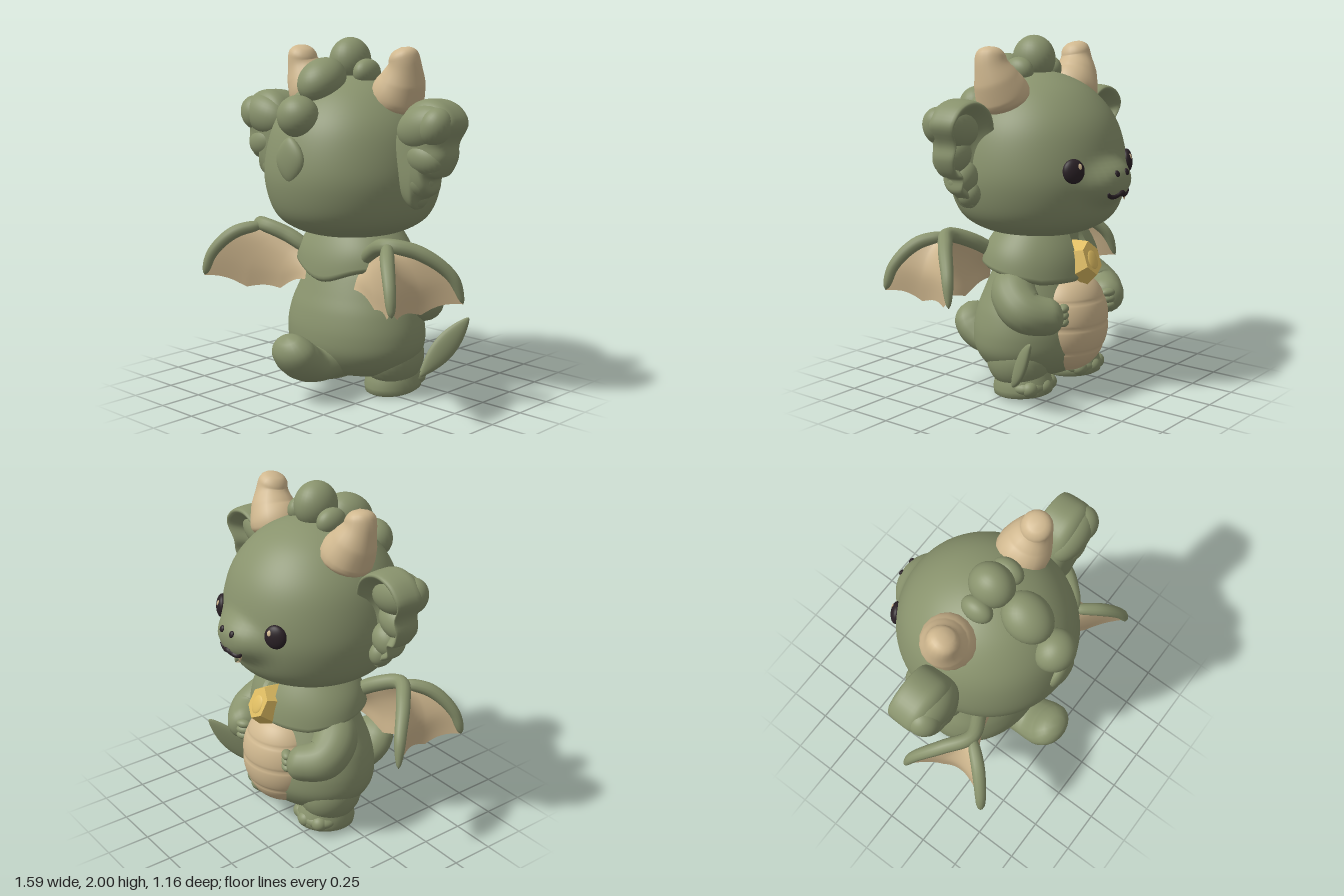
import * as THREE from 'three';
import { mergeVertices } from 'three/addons/utils/BufferGeometryUtils.js';
import { ParametricGeometry } from 'three/addons/geometries/ParametricGeometry.js';

const V = (a) => new THREE.Vector3(...a);
const curve = (pts, closed = false) => new THREE.CatmullRomCurve3(pts.map(V), closed);

function paint(name, color) {
  const m = new THREE.MeshStandardMaterial({ color, side: THREE.DoubleSide });
  m.name = name;
  return m;
}

// weld seams and recompute smooth normals
function smooth(geo) {
  geo.deleteAttribute('uv');
  geo.deleteAttribute('normal');
  const g = mergeVertices(geo, 1e-4);
  g.computeVertexNormals();
  return g;
}

function add(parent, name, geo, mat) {
  const m = new THREE.Mesh(geo, mat);
  m.name = name;
  parent.add(m);
  return m;
}

// ellipsoid placed at p with radii r
function blob(parent, name, mat, p, r, rot = [0, 0, 0]) {
  const m = add(parent, name, new THREE.SphereGeometry(1, 28, 20), mat);
  m.position.set(...p);
  m.scale.set(...r);
  m.rotation.set(...rot);
  return m;
}

// tube whose radius follows a list of radii, with rounded ends
function limb(parent, name, mat, pts, radii, seg = 30, sides = 18) {
  const path = curve(pts);
  const rad = new THREE.SplineCurve(radii.map((r, i) => new THREE.Vector2(i / (radii.length - 1), r)));
  const geo = new THREE.TubeGeometry(path, seg, 1, sides);
  const pos = geo.attributes.position, v = new THREE.Vector3();
  for (let i = 0; i < pos.count; i++) {
    const t = Math.floor(i / (sides + 1)) / seg;
    const c = path.getPointAt(t);
    const e = Math.min(1, Math.min(t, 1 - t) / 0.16);
    const r = rad.getPoint(t).y * Math.sqrt(Math.max(0, 1 - (1 - e) ** 2));
    v.fromBufferAttribute(pos, i).sub(c).multiplyScalar(r).add(c);
    pos.setXYZ(i, v.x, v.y, v.z);
  }
  return add(parent, name, smooth(geo), mat);
}

// turned form from (radius, height) points, shifted by z and scaled in depth
function turned(pts, z, sz) {
  const line = new THREE.SplineCurve(pts.map((p) => new THREE.Vector2(...p))).getPoints(70);
  line.forEach((p) => { p.x = Math.max(0, p.x); });
  const geo = new THREE.LatheGeometry(line, 80);
  geo.scale(1, 1, sz);
  geo.translate(0, 0, z);
  return geo;
}

export function createModel() {
  const root = new THREE.Group();
  root.name = 'babyDragon';
  const green = paint('mossGreen', 0x89936d);
  const tan = paint('warmTan', 0xd0b88f);
  const dark = paint('eyeDark', 0x2a2126);
  const gold = paint('gemGold', 0xdfbd62);

  // head with a soft snout swelling out of the front
  const headGeo = turned([[0, 0.905], [0.22, 0.91], [0.37, 0.965], [0.45, 1.05], [0.493, 1.2], [0.49, 1.34],
    [0.45, 1.5], [0.38, 1.62], [0.275, 1.72], [0.14, 1.785], [0, 1.81]], 0, 1.02);
  const hp = headGeo.attributes.position;
  for (let i = 0; i < hp.count; i++) {
    if (hp.getZ(i) > 0) continue;
    const d = (hp.getX(i) / 0.185) ** 2 + ((hp.getY(i) - 1.23) / 0.11) ** 2;
    hp.setZ(i, hp.getZ(i) - 0.07 * Math.exp(-(d ** 2)));
  }
  const head = add(root, 'head', smooth(headGeo), green);
  const onFace = (x, y, lift = 0.002) => {
    const ray = new THREE.Raycaster(V([x, y, -2]), V([0, 0, 1]));
    return [x, y, ray.intersectObject(head)[0].point.z - lift];
  };

  add(root, 'body', smooth(turned([[0, 0.09], [0.2, 0.1], [0.34, 0.15], [0.425, 0.25], [0.44, 0.36], [0.415, 0.48],
    [0.37, 0.58], [0.32, 0.68], [0.265, 0.78], [0.25, 0.95]], -0.02, 0.77)), green);

  // belly plate with stacked bands
  const bands = [];
  for (let i = 0; i <= 72; i++) {
    const t = i / 72, a = Math.PI * t;
    const groove = 0.009 * Math.abs(Math.sin(t * Math.PI * 6)) ** 0.3;
    bands.push(new THREE.Vector2(Math.sin(a) ** 0.85 * (0.238 + groove), 0.41 - 0.285 * Math.cos(a)));
  }
  const belly = new THREE.LatheGeometry(bands, 48);
  belly.scale(1, 1, 0.88);
  belly.translate(0, 0, -0.22);
  add(root, 'belly', smooth(belly), tan);

  // cape around the neck, open at the chest, pointed at the back
  const cape = new ParametricGeometry((u, v, out) => {
    const a = (u * 2 - 1) * 2.95, back = Math.cos(a);
    const hem = 0.765 - 0.09 * Math.exp(-((a / 0.55) ** 2)) - 0.085 * Math.min(1, Math.abs(a) / 2.3) ** 2;
    const t = Math.min(1, v / 0.8), tuck = Math.max(0, (v - 0.8) / 0.2);
    const w = 0.262 + 0.115 * t + 0.025 * Math.sin(t * Math.PI) - 0.07 * tuck;
    out.set(Math.sin(a) * w, 0.95 + (hem - 0.95) * t - 0.02 * Math.sin(tuck * Math.PI), -0.03 + back * w * 0.83);
  }, 64, 24);
  add(root, 'cape', smooth(cape), green);

  // chest gem
  const gem = new THREE.Group();
  gem.name = 'gem';
  gem.position.set(0, 0.77, -0.335);
  gem.rotation.set(0.42, 0, 0.12);
  root.add(gem);
  const cut = new THREE.CylinderGeometry(0.075, 0.105, 0.1, 6).toNonIndexed();
  cut.computeVertexNormals();
  const stone = add(gem, 'gemStone', cut, gold);
  stone.rotation.x = -Math.PI / 2;
  stone.scale.z = 1.3;
  blob(gem, 'gemFace', gold, [0, -0.01, -0.048], [0.042, 0.055, 0.01]);

  // crest of rounded scales from crown to nape
  blob(root, 'crestTop', green, [0, 1.87, 0.025], [0.11, 0.13, 0.125]);
  blob(root, 'crestUpper', green, [0, 1.77, 0.25], [0.125, 0.115, 0.15], [0.5, 0, 0]);
  blob(root, 'crestMiddle', green, [0, 1.585, 0.43], [0.12, 0.115, 0.11], [0.3, 0, 0]);
  const scale = blob(root, 'crestLower', green, [0, 1.355, 0.49], [0.1, 0.125, 0.04], [0.02, 0, 0]);
  const sp = scale.geometry.attributes.position;
  for (let i = 0; i < sp.count; i++) sp.setX(i, sp.getX(i) * (1 - 0.35 * Math.abs(sp.getY(i)) ** 2));
  scale.geometry.computeVertexNormals();

  // broad upturned tail and its leaf-shaped tip
  limb(root, 'tail', green, [[0, 0.2, 0.02], [0, 0.2, 0.2], [0, 0.205, 0.36], [0, 0.27, 0.46], [0, 0.39, 0.53]],
    [0.12, 0.11, 0.102, 0.108, 0.085], 40).scale.x = 1.38;
  const leaf = new THREE.SphereGeometry(1, 24, 24);
  const lp = leaf.attributes.position;
  for (let i = 0; i < lp.count; i++) {
    const y = lp.getY(i), k = 1 - 0.45 * y * y;
    lp.setXYZ(i, lp.getX(i) * 0.068 * k, y * 0.215, lp.getZ(i) * 0.025);
  }
  const along = V([0.15, 0.32, -0.24]).normalize();
  const flat = V([1, 0, 1]).addScaledVector(along, -V([1, 0, 1]).dot(along)).normalize();
  const tip = add(root, 'tailTip', smooth(leaf), green);
  tip.quaternion.setFromRotationMatrix(new THREE.Matrix4().makeBasis(along.clone().cross(flat), along, flat));
  tip.position.set(0.475, 0.265, -0.25);

  // mouth and single tooth on the snout surface
  const smile = [[-0.1, 1.185], [-0.075, 1.162], [-0.04, 1.16], [0, 1.178], [0.04, 1.16], [0.075, 1.162], [0.1, 1.185]];
  limb(root, 'mouth', dark, smile.map((p) => onFace(...p)), [0.011, 0.014, 0.014, 0.011], 40, 8);
  const tooth = add(root, 'tooth', new THREE.ConeGeometry(0.018, 0.045, 12), tan);
  tooth.position.set(...onFace(-0.072, 1.145, 0.01));
  tooth.rotation.x = Math.PI;

  // lobed outline shared by both ears
  const earMid = V([0.57, 1.42, 0]);
  const earOutline = curve([[0.42, 1.5, 0], [0.49, 1.64, 0], [0.6, 1.69, 0], [0.72, 1.66, 0], [0.785, 1.57, 0],
    [0.74, 1.46, 0], [0.745, 1.38, 0], [0.7, 1.29, 0], [0.645, 1.27, 0], [0.64, 1.2, 0], [0.575, 1.155, 0],
    [0.535, 1.1, 0], [0.47, 1.14, 0], [0.42, 1.3, 0]], true);

  for (const s of [1, -1]) {
    const side = new THREE.Group();
    side.name = s > 0 ? 'leftSide' : 'rightSide';
    side.scale.x = s;
    root.add(side);

    // face details
    blob(side, 'eye', dark, onFace(0.255, 1.31, 0), [0.062, 0.066, 0.032], [0.1, -0.54, 0]);
    blob(side, 'eyeGlint', tan, onFace(0.245, 1.337, 0.029), [0.014, 0.017, 0.006], [0.4, -0.54, 0]);
    blob(side, 'nostril', dark, onFace(0.045, 1.285), [0.017, 0.019, 0.009], [0.4, 0, 0]);

    // horn and small crest lobe
    limb(side, 'horn', tan, [[0.29, 1.61, -0.02], [0.32, 1.69, -0.01], [0.365, 1.78, 0], [0.388, 1.87, 0.015], [0.37, 1.95, 0.025]],
      [0.135, 0.148, 0.125, 0.09, 0.08], 40);
    blob(side, 'crestSide', green, [0.13, 1.81, 0.03], [0.062, 0.075, 0.09]);

    // ear: dish with a rolled rim facing forward, lobes swelling behind
    const ear = new ParametricGeometry((u, v, out) => {
      const c = Math.cos(Math.PI * v), front = -c;
      out.copy(earOutline.getPoint(u)).sub(earMid).multiplyScalar(Math.sin(Math.PI * v) ** 0.6).add(earMid);
      const high = Math.min(1, Math.max(0, (out.y - 1.15) / 0.45));
      out.z = 0.065 + (c > 0 ? 0.105 * c ** 0.8 : (-0.2 - 0.32 * high) * front * (1 - front) + 0.03 * front * front);
    }, 72, 32);
    add(side, 'earDish', smooth(ear), green);
    blob(side, 'earUpper', green, [0.6, 1.54, 0.1], [0.17, 0.12, 0.105], [0, 0, 0.3]);
    blob(side, 'earTip', green, [0.685, 1.55, 0.115], [0.09, 0.105, 0.09], [0, 0, -0.5]);
    blob(side, 'earMiddle', green, [0.61, 1.385, 0.1], [0.125, 0.095, 0.085], [0, 0, -0.25]);
    blob(side, 'earLower', green, [0.55, 1.26, 0.085], [0.1, 0.085, 0.08], [0, 0, -0.75]);
    blob(side, 'earEnd', green, [0.525, 1.175, 0.06], [0.06, 0.07, 0.065]);

    // arm and fingers
    limb(side, 'arm', green, [[0.22, 0.69, -0.02], [0.33, 0.6, -0.09], [0.36, 0.53, -0.19], [0.3, 0.505, -0.27], [0.21, 0.505, -0.33]],
      [0.1, 0.125, 0.122, 0.108, 0.095], 40);
    for (let i = 0; i < 3; i++) blob(side, 'finger', green, [0.215, 0.465 + i * 0.038, -0.34], [0.045, 0.025, 0.03], [0, 0.5, 0]);

    // leg, foot sloping up at the front, and toes
    blob(side, 'thigh', green, [0.255, 0.22, -0.06], [0.165, 0.18, 0.19]);
    const foot = new THREE.LatheGeometry([[0, 0], [0.135, 0], [0.152, 0.012], [0.157, 0.045], [0.15, 0.09],
      [0.135, 0.14], [0.11, 0.22]].map((p) => new THREE.Vector2(...p)), 32);
    const fp = foot.attributes.position;
    for (let i = 0; i < fp.count; i++) {
      const y = fp.getY(i), z = fp.getZ(i) * 1.13;
      fp.setXYZ(i, fp.getX(i), y + (0.17 - z) * 0.09 * (1 - y / 0.22), z);
    }
    add(side, 'foot', smooth(foot), green).position.set(0.238, 0, -0.08);
    blob(side, 'footFront', green, [0.238, 0.08, -0.15], [0.148, 0.06, 0.105]);
    for (let i = -1; i <= 1; i++) {
      blob(side, 'toe', green, [0.238 + i * 0.085, 0.078, -0.222 + Math.abs(i) * 0.03], [0.05, 0.046, 0.048]);
    }

    // wing: leading arm, second finger, and two stretched membranes
    const wrist = [0.48, 0.92, 0.25];
    const edgeA = [wrist, [0.62, 0.885, 0.15], [0.74, 0.76, 0.03], [0.785, 0.61, -0.015]];
    const edgeB = [wrist, [0.595, 0.875, 0.38], [0.69, 0.755, 0.468], [0.73, 0.62, 0.498]];
    const edgeC = [[0.22, 0.77, 0.14], [0.2, 0.7, 0.18], [0.19, 0.63, 0.2]];
    limb(side, 'wingArm', green, [[0.18, 0.76, 0.12], [0.33, 0.865, 0.19], ...edgeA], [0.04, 0.044, 0.042, 0.04, 0.034, 0.025], 50, 12);
    limb(side, 'wingFinger', green, edgeB, [0.032, 0.038, 0.033, 0.025], 30, 12);
    const membrane = (from, to, pull) => {
      const a = curve(from), b = curve(to);
      return new ParametricGeometry((u, v, out) => {
        const bow = Math.sin(Math.PI * v) * u;
        out.copy(a.getPoint(u)).lerp(b.getPoint(u), v).addScaledVector(V(pull), bow);
        out.y += 0.025 * u * u * Math.abs(Math.sin(3 * Math.PI * v));
      }, 16, 36);
    };
    add(side, 'outerMembrane', smooth(membrane(edgeA, edgeB, [-0.15, -0.065, 0])), tan);
    add(side, 'innerMembrane', smooth(membrane(edgeB, edgeC, [0, -0.085, -0.08])), tan);
  }
  return root;
}
